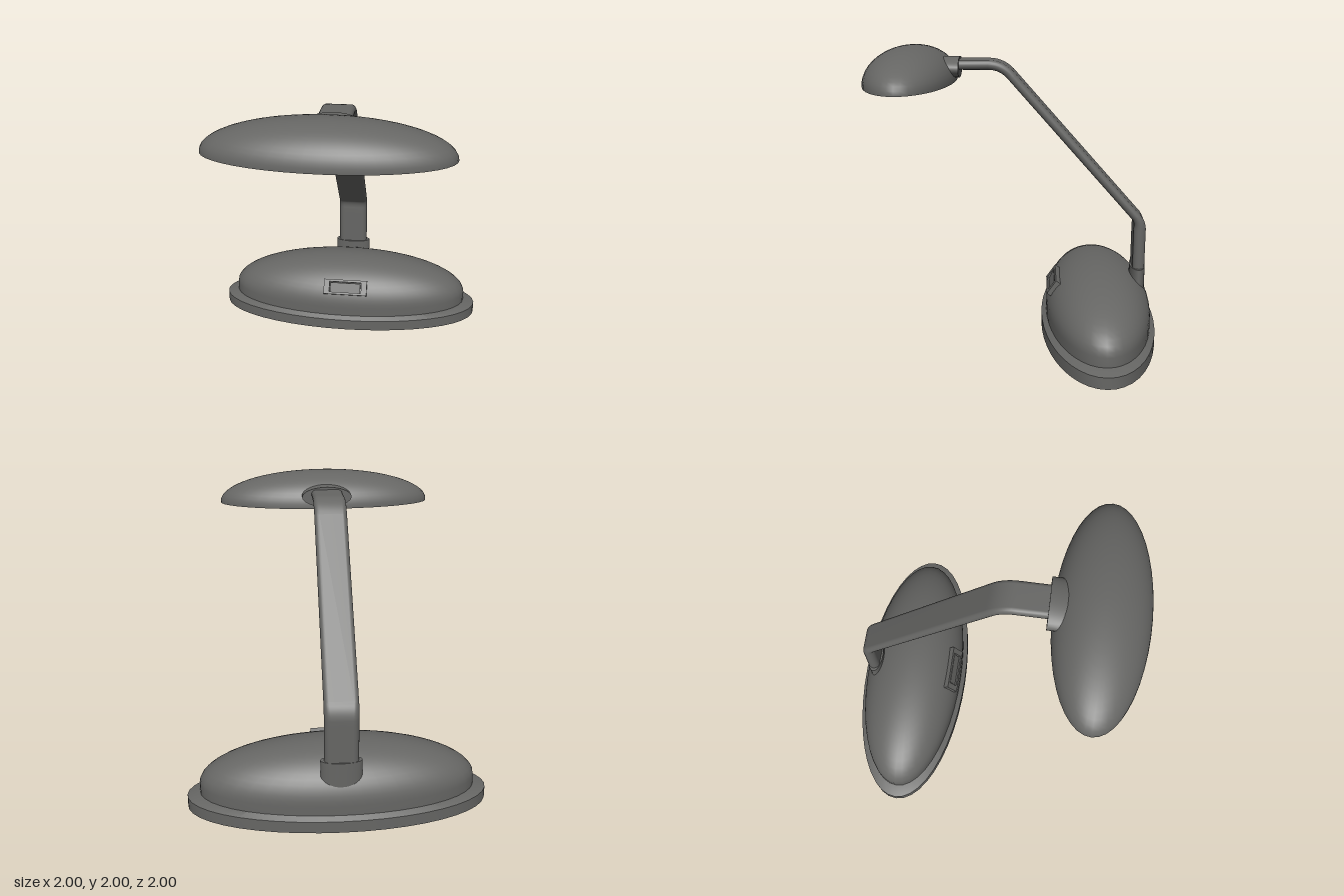
import * as THREE from 'three';
import { toCreasedNormals } from 'three/addons/utils/BufferGeometryUtils.js';

const body = new THREE.MeshStandardMaterial({ color: 0x666664 });
const glow = new THREE.MeshStandardMaterial({ color: 0xd8d090 });

const V2 = (x, y) => new THREE.Vector2(x, y);

// Quarter-ellipse profile from the outer edge up to the axis
function domeProfile(r, y0, h, n = 14) {
  return Array.from({ length: n + 1 }, (_, i) => {
    const a = (i / n) * Math.PI / 2;
    return V2(i === n ? 0 : r * Math.cos(a), y0 + h * Math.sin(a));
  });
}

// Lathe squashed along z into an oval, hard edges kept
function ovalLathe(points, squash) {
  const geo = new THREE.LatheGeometry(points, 44);
  geo.scale(1, 1, squash);
  return toCreasedNormals(geo, 0.5);
}

// Flat bar with rounded sides swept along a path in the yz plane
function sweptBar(path, halfWidth, side = 10) {
  const pos = [], idx = [], ring = 2 * (side + 1);
  path.forEach(([z, y, t], i) => {
    const a = path[Math.max(i - 1, 0)], b = path[Math.min(i + 1, path.length - 1)];
    const len = Math.hypot(b[0] - a[0], b[1] - a[1]);
    const tz = (b[0] - a[0]) / len, ty = (b[1] - a[1]) / len;
    for (let j = 0; j < ring; j++) {
      const right = j <= side;
      const ang = -Math.PI / 2 + Math.PI * (right ? j : j - 1) / side;
      const x = (right ? 1 : -1) * (halfWidth - t) + t * Math.cos(ang);
      const n = t * Math.sin(ang);
      pos.push(x, y + n * tz, z - n * ty);
    }
  });
  for (let i = 0; i < path.length - 1; i++) {
    for (let j = 0; j < ring; j++) {
      const a = i * ring + j, b = i * ring + (j + 1) % ring;
      idx.push(a, b, a + ring, b, b + ring, a + ring);
    }
  }
  const geo = new THREE.BufferGeometry();
  geo.setAttribute('position', new THREE.Float32BufferAttribute(pos, 3));
  geo.setIndex(idx);
  geo.computeVertexNormals();
  return geo;
}

function rect(w, h, Type) {
  return new Type([V2(-w, -h), V2(w, -h), V2(w, h), V2(-w, h)]);
}

export function createModel() {
  const model = new THREE.Group();
  const add = (name, geo, x = 0, y = 0, z = 0, mat = body, parent = model) => {
    const mesh = new THREE.Mesh(geo, mat);
    mesh.name = name;
    mesh.position.set(x, y, z);
    parent.add(mesh);
    return mesh;
  };

  // Base: oval plinth with a sloped rim and a domed cover
  add('basePlinth', ovalLathe([V2(0, 0), V2(1, 0), V2(1, 0.08), V2(0.91, 0.105), V2(0, 0.105)], 0.4), 0, 0, -0.6);
  add('baseDome', ovalLathe([V2(0.915, 0.09), ...domeProfile(0.915, 0.17, 0.292)], 0.4), 0, 0, -0.6);

  // Rocker switch on the front slope of the dome
  const rocker = new THREE.Group();
  rocker.name = 'switch';
  rocker.position.set(0, 0.336, -0.267);
  rocker.rotation.x = -0.6;
  model.add(rocker);
  const frame = rect(0.165, 0.057, THREE.Shape);
  frame.holes.push(rect(0.122, 0.04, THREE.Path));
  add('switchFrame', new THREE.ExtrudeGeometry(frame, { depth: 0.06, bevelEnabled: false }), 0, 0, -0.06, body, rocker);
  const key = add('switchKey', new THREE.BoxGeometry(0.23, 0.072, 0.05), 0, 0, -0.033, body, rocker);
  key.rotation.x = 0.15;

  // Arm: upright, lower bend, long diagonal, upper bend, short horizontal
  const path = [[-0.882, 0.25, 0.042], [-0.882, 0.7, 0.042]];
  const bend = (p0, p1, p2, t0, t1) => {
    const curve = new THREE.QuadraticBezierCurve(V2(...p0), V2(...p1), V2(...p2));
    curve.getPoints(8).forEach((p, i) => path.push([p.x, p.y, t0 + (t1 - t0) * i / 8]));
  };
  bend([-0.882, 0.74], [-0.882, 0.795], [-0.85, 0.83], 0.042, 0.031);
  bend([0.01, 1.8], [0.075, 1.88], [0.17, 1.88], 0.031, 0.032);
  path.push([0.45, 1.88, 0.032]);
  add('arm', sweptBar(path, 0.11));

  // Oval collars where the arm meets the base and the shade
  const collar = (rx, rz, h) => {
    const geo = new THREE.CylinderGeometry(1, 1, h, 32);
    geo.scale(rx, 1, rz);
    return toCreasedNormals(geo, 0.6);
  };
  add('baseCollar', collar(0.133, 0.054, 0.26), 0, 0.325, -0.88);
  add('shadeCollar', collar(0.175, 0.07, 0.11), 0, 1.86, 0.42).rotation.x = Math.PI / 2;

  // Shade: recessed underside and reflector bowl, lip, outer dome
  add('shade', ovalLathe([
    V2(0, 1.865), V2(0.29, 1.86), V2(0.42, 1.835), V2(0.53, 1.787),
    V2(0.72, 1.787), V2(0.73, 1.77), V2(0.767, 1.77),
    ...domeProfile(0.767, 1.777, 0.223)], 0.398), 0, 0, 0.695);

  // Bulb
  const bulb = add('bulb', new THREE.SphereGeometry(1, 28, 16), 0, 1.835, 0.695, glow);
  bulb.scale.set(0.16, 0.04, 0.065);

  return model;
}
